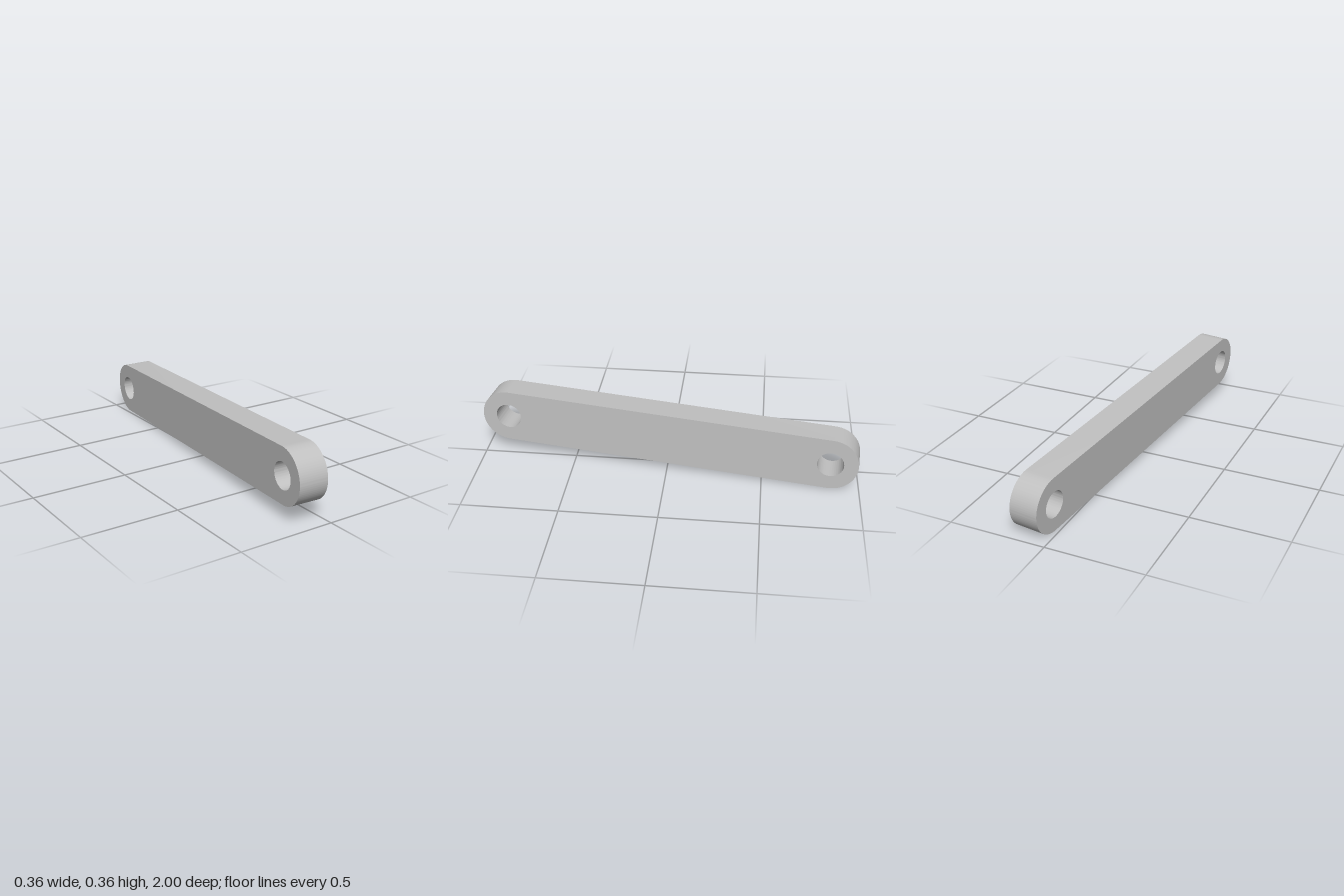
import * as THREE from 'three';
import { toCreasedNormals } from 'three/addons/utils/BufferGeometryUtils.js';

const HALF_SPAN = 0.858;    // centre of the bar to each pin hole
const END_RADIUS = 0.142;
const HOLE_RADIUS = 0.068;
const THICKNESS = 0.148;

export function createModel() {
  const group = new THREE.Group();
  const metal = new THREE.MeshStandardMaterial({ color: 0xc0c0c0 });
  metal.name = 'grey metal';

  // Link outline: two half-round ends joined by straight edges
  const outline = new THREE.Shape();
  outline.absarc(HALF_SPAN, 0, END_RADIUS, -Math.PI / 2, Math.PI / 2, false);
  outline.absarc(-HALF_SPAN, 0, END_RADIUS, Math.PI / 2, Math.PI * 1.5, false);
  outline.closePath();

  // A pin hole through each end
  for (const side of [-1, 1]) {
    const hole = new THREE.Path();
    hole.absarc(side * HALF_SPAN, 0, HOLE_RADIUS, 0, Math.PI * 2, true);
    outline.holes.push(hole);
  }

  const extruded = new THREE.ExtrudeGeometry(outline, {
    depth: THICKNESS, bevelEnabled: false, curveSegments: 40,
  });
  extruded.translate(0, 0, -THICKNESS / 2);
  const link = new THREE.Mesh(toCreasedNormals(extruded, 0.6), metal);
  link.name = 'linkBar';

  // Tilt: the bar runs down towards the back left, with a slight roll
  const along = new THREE.Vector3(0.105, -0.0421, -0.9936).normalize();
  const across = new THREE.Vector3(0.994, 0.027, 0.1039).normalize();
  const up = new THREE.Vector3().crossVectors(across, along).normalize();
  across.crossVectors(along, up);
  link.quaternion.setFromRotationMatrix(new THREE.Matrix4().makeBasis(along, up, across));
  link.position.y = 0.181;

  group.add(link);
  return group;
}
